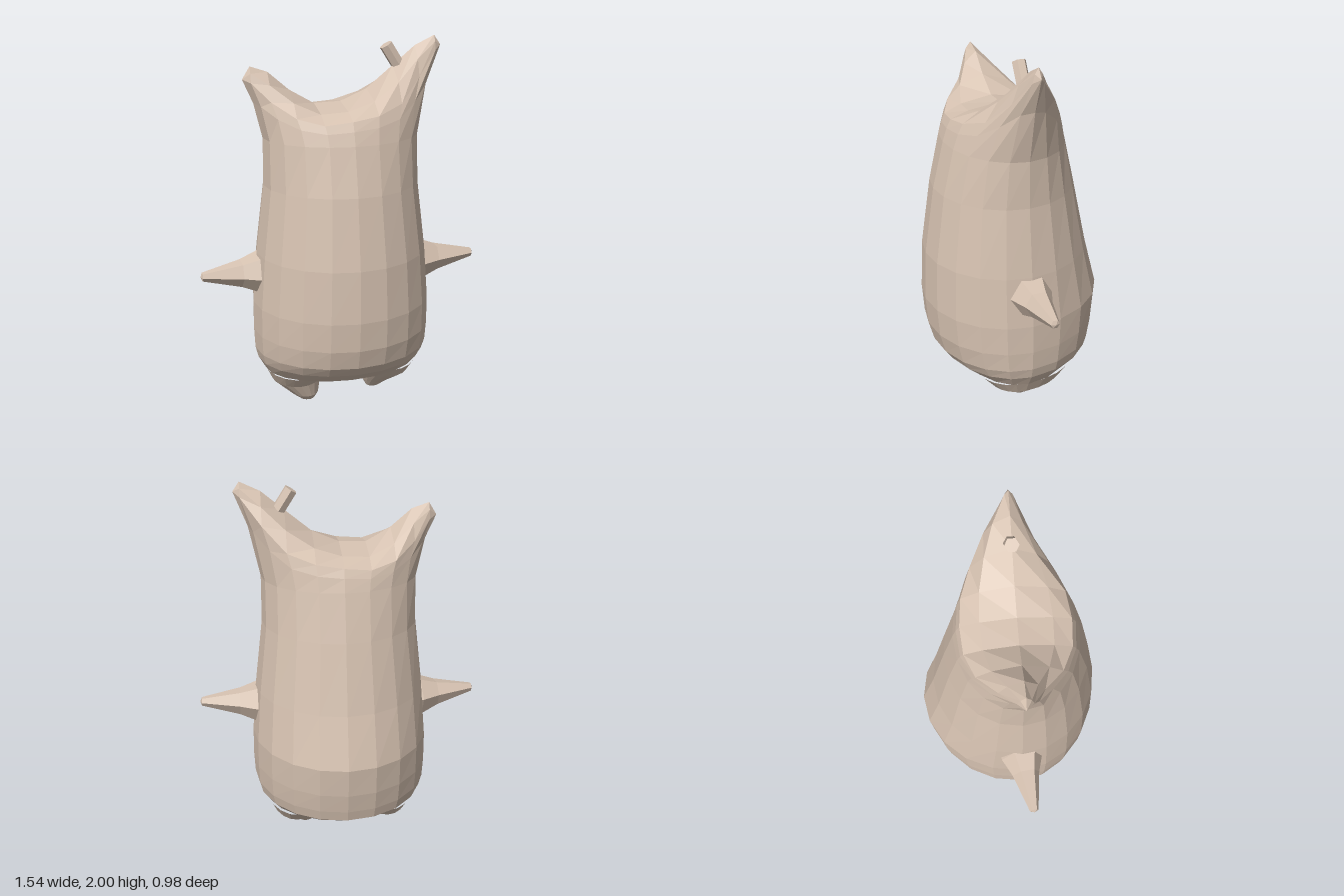
import * as THREE from 'three';

const SIDES = 20;
const skin = new THREE.MeshStandardMaterial({ color: 0xd6c2b1, flatShading: true });

// Oval ring whose front and back halves reach different depths around zMid.
function ovalRing(y, cx, rx, zFront, zBack, zMid = 0.05) {
  return Array.from({ length: SIDES }, (_, i) => {
    const a = (i / SIDES) * Math.PI * 2;
    const s = Math.sin(a);
    return [cx + rx * Math.cos(a), y, zMid + (s > 0 ? (zFront - zMid) * s : (zMid - zBack) * s)];
  });
}

// Skin a stack of rings, listed from the bottom upwards.
function loft(rings) {
  const index = [];
  for (let r = 0; r < rings.length - 1; r++) {
    for (let i = 0; i < SIDES; i++) {
      const a = r * SIDES + i;
      const b = r * SIDES + ((i + 1) % SIDES);
      index.push(a, a + SIDES, b, b, a + SIDES, b + SIDES);
    }
  }
  const g = new THREE.BufferGeometry();
  g.setAttribute('position', new THREE.Float32BufferAttribute(rings.flat(2), 3));
  g.setIndex(index);
  g.computeVertexNormals();
  return g;
}

function addPart(group, name, geometry) {
  const mesh = new THREE.Mesh(geometry, skin);
  mesh.name = name;
  group.add(mesh);
  return mesh;
}

// Aim a part that was made along +y from one point towards another.
function aim(mesh, from, to) {
  const a = new THREE.Vector3(...from);
  const dir = new THREE.Vector3(...to).sub(a).normalize();
  mesh.position.copy(a);
  mesh.quaternion.setFromUnitVectors(new THREE.Vector3(0, 1, 0), dir);
}

function bodyRings() {
  // y, half width, front z, back z
  const wall = [
    [0.17, 0.0, 0.05, 0.05],
    [0.165, 0.3, 0.25, -0.23],
    [0.2, 0.425, 0.32, -0.33],
    [0.27, 0.465, 0.405, -0.435],
    [0.33, 0.48, 0.45, -0.45],
    [0.44, 0.485, 0.48, -0.47],
    [0.6, 0.483, 0.492, -0.485],
    [0.88, 0.46, 0.48, -0.41],
    [1.25, 0.415, 0.425, -0.33],
    [1.5, 0.412, 0.365, -0.27],
  ].map(([y, w, f, b]) => ovalRing(y, 0, w, f, b));

  // Rim from the tall corner to the short one: x, rim y, front z, back z, ridge y
  const rimTable = [
    [0.54, 1.95, 0.05, 0.05, 1.95],
    [0.505, 1.925, 0.08, 0.02, 2.0],
    [0.4, 1.8, 0.14, -0.08, 1.95],
    [0.28, 1.68, 0.23, -0.16, 1.85],
    [0.14, 1.635, 0.3, -0.215, 1.735],
    [0, 1.615, 0.32, -0.23, 1.675],
    [-0.14, 1.6, 0.31, -0.22, 1.67],
    [-0.27, 1.63, 0.25, -0.17, 1.745],
    [-0.38, 1.7, 0.15, -0.07, 1.84],
    [-0.47, 1.79, 0.09, 0.01, 1.87],
    [-0.51, 1.805, 0.05, 0.05, 1.805],
  ];
  // Ring of the saddle-shaped top; s = 1 at the rim, 0 on the ridge line
  const capRing = (s) => Array.from({ length: SIDES }, (_, i) => {
    const [x, rimY, f, b, ridgeY] = rimTable[i <= SIDES / 2 ? i : SIDES - i];
    const z = i <= SIDES / 2 ? f : b;
    return [x, rimY + (ridgeY - rimY) * (1 - s * s), 0.05 + (z - 0.05) * s];
  });
  const rim = capRing(1);
  // Flare of the wall out into the two corners
  const shoulder = wall.at(-1).map((p, i) => {
    const q = rim[i];
    return [p[0] + (q[0] - p[0]) * 0.45, p[1] + (q[1] - p[1]) * 0.6, p[2] + (q[2] - p[2]) * 0.5];
  });
  return [...wall, shoulder, rim, capRing(0.65), capRing(0)];
}

export function createModel() {
  const model = new THREE.Group();
  model.name = 'sackCreature';

  addPart(model, 'body', loft(bodyRings()));

  // Stubby feet; the right one sits slightly further forward
  for (const side of [1, -1]) {
    const z = side > 0 ? 0.02 : 0.09;
    addPart(model, side > 0 ? 'leftFoot' : 'rightFoot', loft([
      ovalRing(0, side * 0.2, 0, z, z, z),
      ovalRing(0.008, side * 0.2, 0.04, z + 0.035, z - 0.035, z),
      ovalRing(0.05, side * 0.215, 0.075, z + 0.08, z - 0.08, z),
      ovalRing(0.13, side * 0.255, 0.135, 0.2, -0.19),
      ovalRing(0.205, side * 0.245, 0.18, 0.27, -0.26),
    ]));
  }

  // Pointed arms
  const armProfile = [[0.12, -0.04], [0.115, 0], [0.075, 0.1], [0.024, 0.31], [0, 0.32]]
    .map(([r, y]) => new THREE.Vector2(r, y));
  for (const side of [1, -1]) {
    const arm = addPart(model, side > 0 ? 'leftArm' : 'rightArm', new THREE.LatheGeometry(armProfile, 6));
    aim(arm, [side * 0.45, 0.77, 0.05], [side * 0.77, 0.78, side > 0 ? 0.05 : 0.09]);
  }

  // Small peg on the tall corner
  const peg = new THREE.CylinderGeometry(0.036, 0.036, 0.15, 6);
  peg.translate(0, 0.075, 0);
  aim(addPart(model, 'peg', peg), [0.325, 1.83, 0.045], [0.245, 1.955, 0.045]);

  return model;
}
